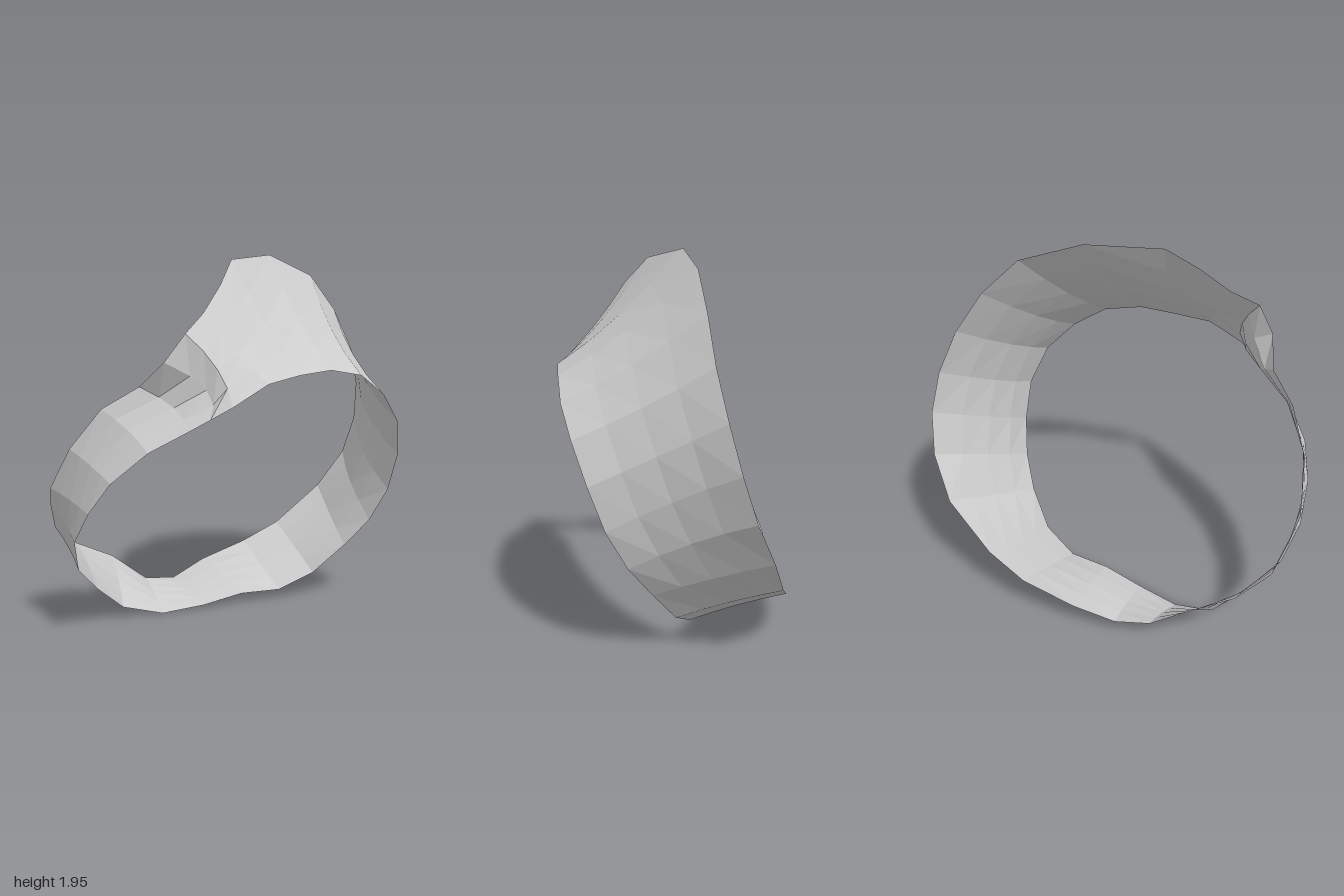
import * as THREE from 'three';

// Stations around the loop: back edge xyz, front edge xyz, inward dent of the middle
const stations = [
  [0.2, 1.95, -0.08, 0.14, 1.375, 0.56, 0.04],
  [0.52, 1.85, -0.15, 0.35, 1.34, 0.53, 0.04],
  [0.72, 1.66, -0.19, 0.53, 1.23, 0.495, 0.04],
  [0.87, 1.44, -0.225, 0.68, 1.08, 0.43, 0.04],
  [0.965, 1.21, -0.28, 0.76, 0.88, 0.35, 0.045],
  [1.0, 0.99, -0.34, 0.765, 0.67, 0.27, 0.05],
  [0.97, 0.77, -0.41, 0.72, 0.48, 0.17, 0.035],
  [0.845, 0.55, -0.5, 0.63, 0.32, 0.06, 0.01],
  [0.58, 0.33, -0.57, 0.49, 0.15, -0.05, 0.01],
  [0.36, 0.23, -0.61, 0.3, 0.06, -0.12, 0.01],
  [0.07, 0.155, -0.615, 0.07, 0.065, -0.16, 0.01],
  [-0.15, 0.085, -0.575, -0.15, 0.025, -0.2, 0.01],
  [-0.34, 0.12, -0.555, -0.38, 0.005, -0.25, 0.01],
  [-0.54, 0.28, -0.565, -0.6, 0.07, -0.285, 0.01],
  [-0.77, 0.4, -0.51, -0.77, 0.22, -0.22, 0.01],
  [-0.92, 0.53, -0.42, -0.91, 0.37, -0.115, 0.01],
  [-0.97, 0.67, -0.33, -0.97, 0.55, 0.0, 0.01],
  [-1.0, 0.78, -0.24, -0.96, 0.72, 0.16, 0.01],
  [-0.96, 1.0, -0.06, -0.9, 0.88, 0.29, 0.01],
];
// Tight fold where the band narrows and creases sideways
const fold = [
  [-0.85, 1.2, 0.08, -0.77, 1.03, 0.42, 0.02],
  [-0.71, 1.31, 0.21, -0.61, 1.13, 0.52, 0.05],
  [-0.66, 1.43, 0.37, -0.53, 1.18, 0.565, 0.1],
  [-0.57, 1.56, 0.41, -0.44, 1.235, 0.61, 0.045],
];
// The band widens again up to the top
const shoulder = [
  [-0.43, 1.65, 0.325, -0.25, 1.33, 0.61, 0.03],
  [-0.29, 1.78, 0.24, -0.15, 1.345, 0.592, 0.03],
  [-0.15, 1.91, 0.11, -0.05, 1.36, 0.575, 0.04],
];

// Five points across the band, bowed along the given direction
function crossSection([bx, by, bz, fx, fy, fz, dent], direction) {
  const back = new THREE.Vector3(bx, by, bz);
  const front = new THREE.Vector3(fx, fy, fz);
  return [0, 0.25, 0.5, 0.75, 1].map((t) =>
    back.clone().lerp(front, t).addScaledVector(direction, dent * 4 * t * (1 - t)));
}

// Direction from a station towards the middle of the loop
function inward([bx, by, , fx, fy]) {
  return new THREE.Vector3(-(bx + fx) / 2, 0.85 - (by + fy) / 2, 0).normalize();
}

function bandGeometry() {
  const sideways = new THREE.Vector3(1, 0, 0);
  const sections = [
    ...stations.map((s) => crossSection(s, inward(s))),
    ...fold.map((s) => crossSection(s, sideways)),
    ...shoulder.map((s) => crossSection(s, inward(s))),
  ];
  const rows = sections.length;
  const cols = 5;
  const index = [];
  for (let i = 0; i < rows; i++) {
    const next = (i + 1) % rows;
    for (let j = 0; j < cols - 1; j++) {
      const a = i * cols + j;
      const b = next * cols + j;
      index.push(a, a + 1, b, b, a + 1, b + 1);
    }
  }
  const geometry = new THREE.BufferGeometry().setFromPoints(sections.flat());
  geometry.setIndex(index);
  const faceted = geometry.toNonIndexed();
  faceted.computeVertexNormals();
  return faceted;
}

export function createModel() {
  const group = new THREE.Group();
  group.name = 'twistedBand';
  const grey = new THREE.MeshStandardMaterial({
    color: 0xcccccc, flatShading: true, side: THREE.DoubleSide,
  });
  grey.name = 'light grey';
  const band = new THREE.Mesh(bandGeometry(), grey);
  band.name = 'band';
  group.add(band);
  return group;
}
